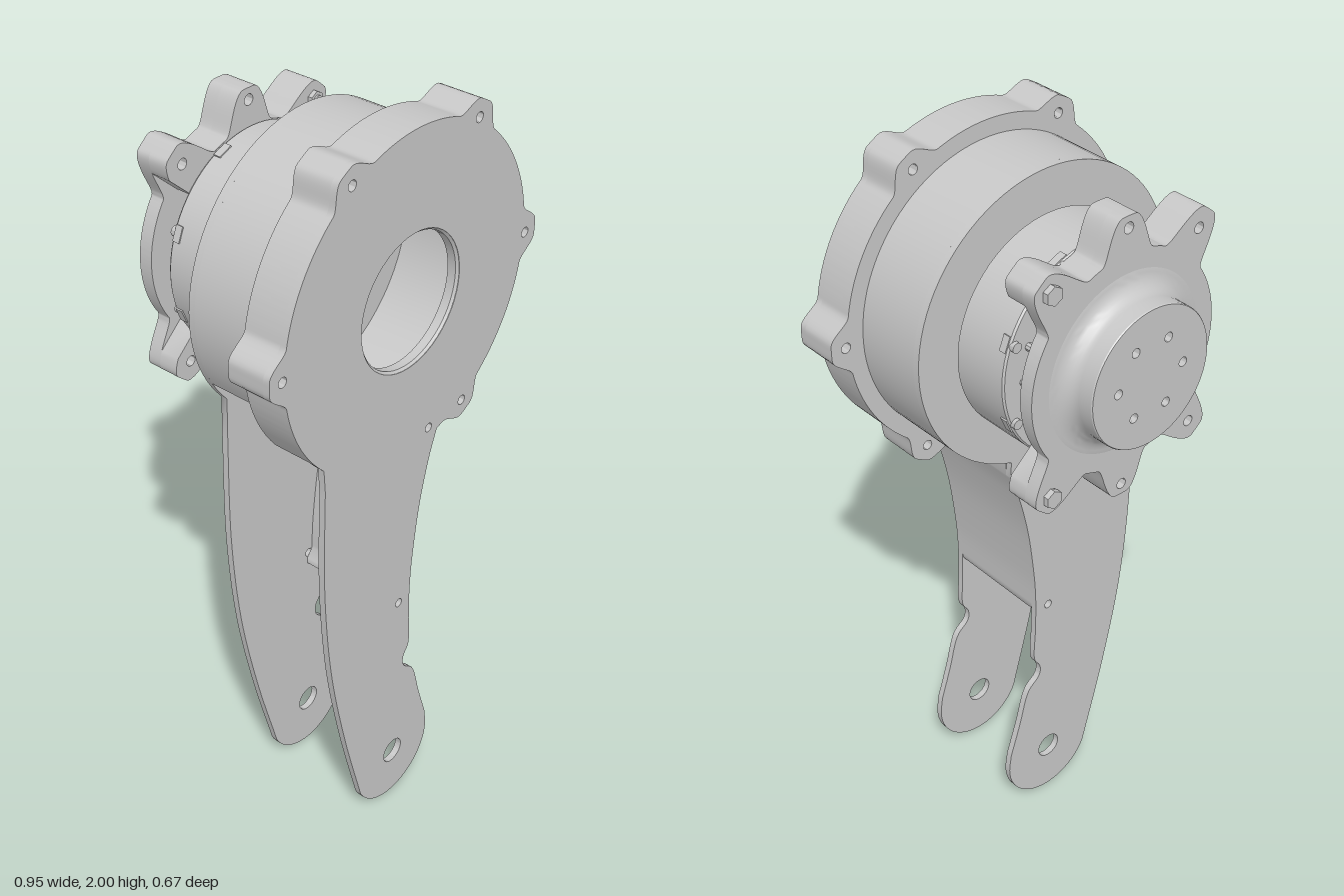
import * as THREE from 'three';
import { toCreasedNormals } from 'three/addons/utils/BufferGeometryUtils.js';

const CY = 1.571; // height of the joint axis
const rad = (d) => (d * Math.PI) / 180;
const V = (x, y) => new THREE.Vector2(x, y);
const metal = new THREE.MeshStandardMaterial({ color: 0xc7c7c7 });
metal.name = 'light grey metal';

// Points on a circle about the joint axis, with rounded ears {a: degrees, h: height}
function arc(R, a0, a1, ears = [], flat = 0.04, foot = 0.18) {
  const pts = [];
  const n = Math.ceil(Math.abs(a1 - a0) / (ears.length ? 1 : 4));
  for (let i = 0; i <= n; i++) {
    const a = rad(a0 + ((a1 - a0) * i) / n);
    let r = R;
    for (const e of ears) {
      const d = Math.abs(Math.atan2(Math.sin(a - rad(e.a)), Math.cos(a - rad(e.a))));
      r += e.h * (1 - THREE.MathUtils.smoothstep(d, flat, foot));
    }
    pts.push(V(r * Math.cos(a), CY + r * Math.sin(a)));
  }
  return pts;
}

const polar = (R, deg) => [R * Math.cos(rad(deg)), CY + R * Math.sin(rad(deg))];

function shapeOf(pts, holes = []) {
  const s = new THREE.Shape(pts);
  for (const [x, y, r] of holes) s.holes.push(new THREE.Path().absarc(x, y, r, 0, Math.PI * 2, true));
  return s;
}

export function createModel() {
  const model = new THREE.Group();
  model.name = 'legLink';

  const add = (name, geo) => {
    const m = new THREE.Mesh(geo, metal);
    m.name = name;
    model.add(m);
    return m;
  };
  const slab = (name, shape, z0, z1) => {
    const g = new THREE.ExtrudeGeometry(shape, { depth: z1 - z0, bevelEnabled: false, curveSegments: 24 });
    g.translate(0, 0, z0);
    return add(name, toCreasedNormals(g, 0.7));
  };
  // Turned part: profile of [radius, z] running from front to back
  const turned = (name, profile) => {
    const g = new THREE.LatheGeometry(profile.map(([r, z]) => V(r, -z)), 72);
    const m = add(name, toCreasedNormals(g, 0.5));
    m.rotation.x = -Math.PI / 2;
    m.position.y = CY;
  };
  const bolt = (name, x, y, r, z0, z1, sides = 12) => {
    const g = new THREE.CylinderGeometry(r, r, Math.abs(z1 - z0), sides);
    g.rotateX(Math.PI / 2);
    add(name, toCreasedNormals(g, 0.6)).position.set(x, y, (z0 + z1) / 2);
  };
  const block = (name, size, x, y, z, turn) => {
    const m = add(name, new THREE.BoxGeometry(...size));
    m.position.set(x, y, z);
    m.rotation.z = rad(turn);
  };

  // Leg outline below the drum: left edge, rounded foot, right edge with a notch
  const left = new THREE.SplineCurve([V(-0.292, 1.2), V(-0.29, 0.9), V(-0.262, 0.62), V(-0.205, 0.35), V(-0.139, 0.11)]).getPoints(32);
  const foot = [];
  for (let a = 204; a <= 372; a += 6) foot.push(V(0.145 * Math.cos(rad(a)), 0.145 + 0.145 * Math.sin(rad(a))));
  const notch = new THREE.SplineCurve([V(0.138, 0.2), V(0.105, 0.3), V(0.075, 0.4), V(0.035, 0.44), V(0.03, 0.475), V(0.05, 0.515), V(0.046, 0.6)]).getPoints(36);
  const right = new THREE.SplineCurve([V(0.043, 0.69), V(0.047, 0.79), V(0.066, 0.95), V(0.095, 1.08), V(0.122, 1.16)]).getPoints(28);
  const leg = [...left, ...foot, ...notch, ...right];

  const flangeEars = [0, 60, 120, 180, 300].map((a) => ({ a, h: 0.047 }));
  const earHoles = flangeEars.map((e) => [...polar(0.434, e.a), 0.013]);
  const legHoles = [[0, 0.15, 0.036], [0, 0.68, 0.012], [0.088, 1.18, 0.012]];

  // Side plates
  slab('frontPlate', shapeOf([...arc(0.428, -72, 226, flangeEars), ...leg],
    [[0, CY, 0.176], ...legHoles, ...earHoles]), 0.317, 0.335);
  slab('backPlate', shapeOf([...arc(0.385, -72, 221), ...leg], legHoles), 0.012, 0.03);

  // Drum wall and eared flange, open on the lower side behind the leg
  slab('flangeRing', shapeOf([...arc(0.428, -72, 220, flangeEars), ...arc(0.365, 220, -72)], earHoles), 0.217, 0.317);
  slab('drumWall', shapeOf([...arc(0.385, -72, 209), ...arc(0.365, 209, -72)]), 0.03, 0.217);

  // Web joining the plates along the inner edge of the leg, rounded at its lower end
  const inner = right.map((p) => V(p.x - 0.03, p.y)).reverse();
  slab('web', shapeOf([...right, V(0.122, 1.215), V(0.09, 1.215), ...inner,
    V(-0.005, 0.665), V(-0.005, 0.648), V(0.012, 0.65), V(0.028, 0.66), V(0.038, 0.673)]), 0.03, 0.317);

  // Lip round the window, and the hub and connectors seen through it
  turned('windowLip', [[0.176, 0.334], [0.182, 0.317], [0.182, 0.305], [0.17, 0.305], [0.17, 0.328], [0.176, 0.334]]);
  slab('hubPlate', shapeOf(arc(0.108, 0, 356)), 0.03, 0.042);
  for (let i = 0; i < 6; i++) {
    const [x, y] = polar(0.097, 39 + 60 * i);
    bolt('hubScrew', x, y, 0.017, 0.03, 0.05);
  }
  block('connector', [0.17, 0.035, 0.03], 0.06, 1.69, 0.045, -22);
  block('connectorPlug', [0.05, 0.03, 0.03], 0.03, 1.645, 0.05, -22);
  block('cableClamp', [0.07, 0.03, 0.03], -0.05, 1.715, 0.045, 25);

  // Actuator body with its rim screws
  turned('actuatorBody', [[0, 0.014], [0.27, 0.014], [0.27, 0.006], [0.28, 0.003], [0.28, -0.15], [0.276, -0.155], [0, -0.155]]);
  for (let i = 0; i < 8; i++) {
    const a = 22.5 + 45 * i;
    const [x, y] = polar(0.266, a);
    bolt('rimScrew', x, y, 0.013, -0.15, -0.165);
    const [lx, ly] = polar(0.276, a);
    block('rimLug', [0.014, 0.04, 0.02], lx, ly, -0.14, a);
  }
  turned('outputDisc', [[0.21, -0.15], [0.21, -0.185], [0.19, -0.2], [0, -0.2]]);
  for (let i = 0; i < 16; i++) {
    const [x, y] = polar(0.222, i * 22.5);
    bolt('discScrew', x, y, 0.01, -0.15, -0.18, 8);
  }

  // Six-eared end cap: plate with skirts above and below
  const capEars = [50, 90, 130, 230, 270, 310].map((a) => ({ a, h: a % 90 ? 0.11 : 0.092 }));
  const capArc = (a0, a1) => arc(0.28, a0, a1, capEars, 0.05, 0.28);
  const capHoles = capEars.map((e) => [...polar(0.342, e.a), 0.014]);
  slab('capPlate', shapeOf(capArc(0, 359), capHoles), -0.25, -0.212);
  for (const a of [42, 222]) {
    const holes = capHoles.filter((h) => (h[1] > CY) === (a < 180));
    slab('capSkirt', shapeOf([...capArc(a, a + 96), ...arc(0.25, a + 96, a)], holes), -0.212, -0.157);
  }
  for (const a of [50, 310]) {
    const [x, y] = polar(0.35, a);
    bolt('capBolt', x, y, 0.024, -0.25, -0.265, 6);
    bolt('capBoltShank', x, y, 0.012, -0.14, -0.25);
    bolt('capNut', x, y, 0.022, -0.145, -0.157, 6);
  }

  // Flared neck and mounting face with six holes
  const flare = [[0.235, -0.248]];
  for (let i = 0; i <= 8; i++) {
    const a = rad((90 * i) / 8);
    flare.push([0.23 - 0.05 * Math.sin(a), -0.293 + 0.043 * Math.cos(a)]);
  }
  turned('neck', [...flare, [0.18, -0.332], [0.178, -0.335]]);
  const faceHoles = [0, 1, 2, 3, 4, 5].map((i) => [...polar(0.1, 60 * i), 0.012]);
  slab('mountingFace', shapeOf(arc(0.178, 0, 356), faceHoles), -0.335, -0.31);
  turned('neckFloor', [[0.177, -0.3], [0.177, -0.31], [0, -0.31]]);

  return model;
}
